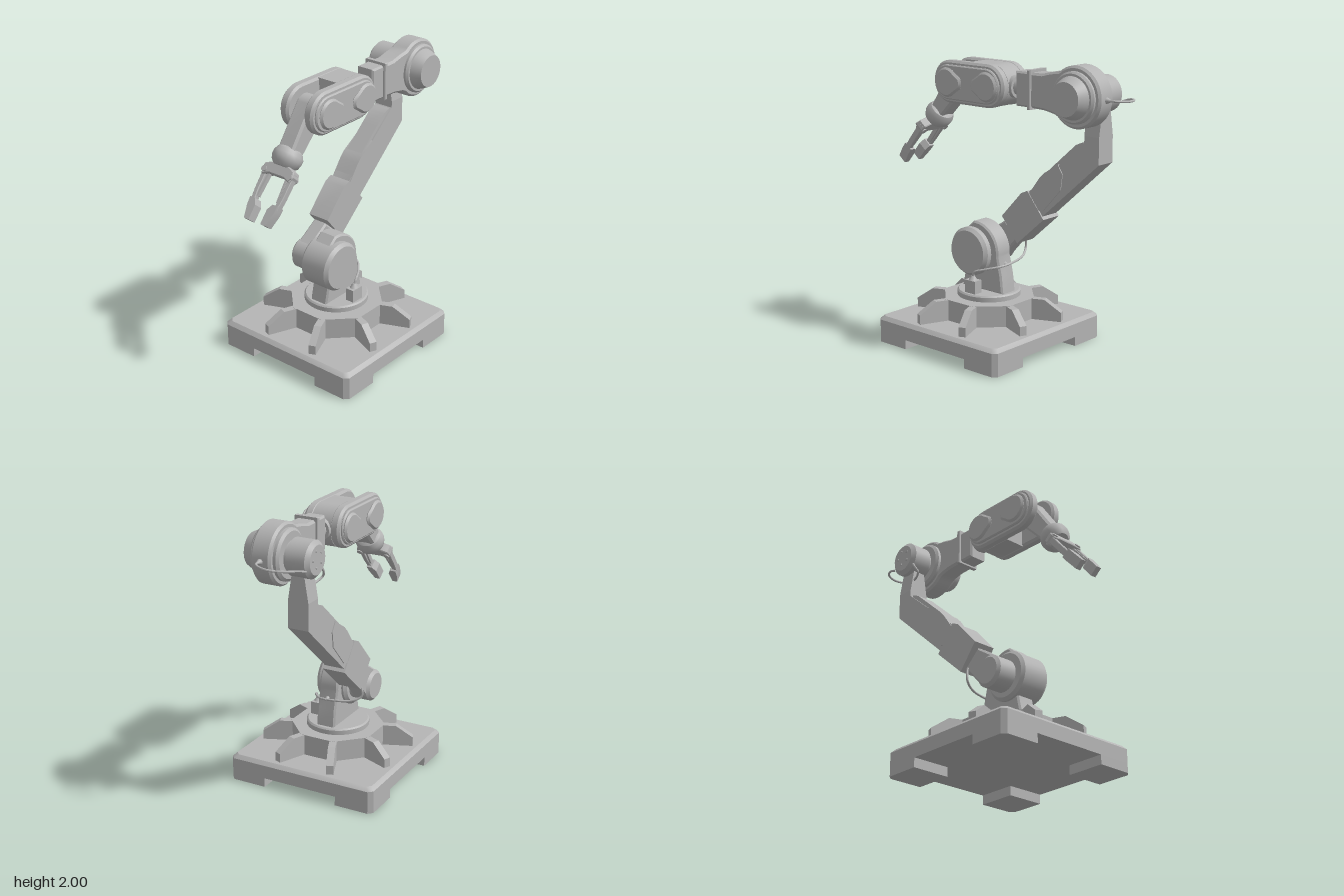
import * as THREE from 'three';
import { toCreasedNormals } from 'three/addons/utils/BufferGeometryUtils.js';

const PI = Math.PI;
const metal = new THREE.MeshStandardMaterial({ color: 0xb4b4b4 });
metal.name = 'grey metal';

function add(parent, name, geometry) {
  const mesh = new THREE.Mesh(toCreasedNormals(geometry, 0.55), metal);
  mesh.name = name;
  parent.add(mesh);
  return mesh;
}

// Points along a circular arc, angles in degrees
function arc(cx, cy, r, a0, a1, n = 20) {
  return Array.from({ length: n + 1 }, (_, i) => {
    const a = THREE.MathUtils.degToRad(a0 + (a1 - a0) * i / n);
    return [cx + r * Math.cos(a), cy + r * Math.sin(a)];
  });
}

// Outline in xy, extruded from z0 to z1 with an inward bevel
function slab(points, z0, z1, b = 0) {
  const shape = new THREE.Shape(points.map(p => new THREE.Vector2(p[0], p[1])));
  const g = new THREE.ExtrudeGeometry(shape, {
    depth: z1 - z0 - 2 * b, bevelEnabled: b > 0, bevelSize: b, bevelThickness: b,
    bevelOffset: -b, bevelSegments: 1, steps: 1,
  });
  return g.translate(0, 0, z0 + b);
}

// Outline in plan, extruded upward; the top can be narrowed
function prism(points, y0, y1, topScale = 1) {
  const g = slab(points, y0, y1).rotateX(-PI / 2), p = g.attributes.position;
  for (let i = 0; i < p.count; i++) {
    if (p.getY(i) > (y0 + y1) / 2) p.setXYZ(i, p.getX(i) * topScale, p.getY(i), p.getZ(i) * topScale);
  }
  return g;
}

// Turned part with its axis along z; profile is [radius, z] with z rising
function turned(x, y, profile, sides = 32) {
  const g = new THREE.LatheGeometry(profile.map(p => new THREE.Vector2(p[0], p[1])), sides);
  return g.rotateX(PI / 2).translate(x, y, 0);
}

function cable(parent, name, pts, r = 0.008) {
  const curve = new THREE.CatmullRomCurve3(pts.map(p => new THREE.Vector3(...p)));
  add(parent, name, new THREE.TubeGeometry(curve, 40, r, 8));
}

function group(parent, name) {
  const g = new THREE.Group();
  g.name = name;
  parent.add(g);
  return g;
}

function buildBase(model) {
  const base = group(model, 'base');
  base.position.x = -0.16;
  const o = 0.55, c = 0.52;
  const plan = [[o, -c], [o, c], [c, o], [-c, o], [-o, c], [-o, -c], [-c, -o], [c, -o]];
  add(base, 'basePlate', prism(plan, 0.065, 0.16));
  add(base, 'basePlateTop', prism(plan, 0.16, 0.185, 0.955));
  for (const sx of [-1, 1]) for (const sz of [-1, 1]) {
    const foot = [[0.275, 0.275], [o, 0.275], [o, c], [c, o], [0.275, o]].map(p => [p[0] * sx, p[1] * sz]);
    add(base, 'foot', prism(foot, 0, 0.066));
  }
  add(base, 'pedestal', new THREE.CylinderGeometry(0.33, 0.33, 0.15, 8).rotateY(PI / 8).translate(0, 0.258, 0));
  for (let k = 0; k < 8; k++) {
    const rib = slab([[0.28, 0.18], [0.53, 0.18], [0.53, 0.25], [0.41, 0.332], [0.28, 0.332]], -0.025, 0.025);
    add(base, 'rib', rib.rotateY(PI / 8 + k * PI / 4));
  }
  add(base, 'turntable', new THREE.LatheGeometry([[0, 0.33], [0.22, 0.33], [0.22, 0.365], [0.21, 0.375], [0, 0.375]]
    .map(p => new THREE.Vector2(...p)), 40));
}

function buildShoulder(model) {
  const s = group(model, 'shoulder');
  const bracket = [[-0.35, 0.37], [0.025, 0.37], [0.01, 0.5], ...arc(-0.225, 0.645, 0.205, -5, 95), [-0.3, 0.8], [-0.31, 0.55]];
  add(s, 'shoulderBracket', slab(bracket, -0.07, 0.07, 0.012));
  add(s, 'shoulderDrum', turned(-0.245, 0.64, [[0, -0.105], [0.15, -0.105], [0.17, -0.085], [0.17, 0.105], [0.15, 0.13], [0, 0.13]], 40));
  add(s, 'shoulderPivot', turned(-0.235, 0.635, [[0, -0.255], [0.09, -0.255], [0.11, -0.235], [0.11, -0.1], [0, -0.1]]));
  add(s, 'cableBox', new THREE.BoxGeometry(0.095, 0.09, 0.065).translate(-0.163, 0.42, 0.16));
  add(s, 'cablePlug', new THREE.CylinderGeometry(0.01, 0.03, 0.03, 12).translate(-0.163, 0.48, 0.16));
  add(s, 'cableClamp', new THREE.ConeGeometry(0.025, 0.05, 10).rotateZ(-PI / 2).translate(0.0, 0.57, 0));
  cable(s, 'shoulderCable', [[-0.163, 0.48, 0.16], [-0.15, 0.52, 0.165], [-0.08, 0.545, 0.13], [0, 0.565, 0.05],
    [0.01, 0.575, -0.06], [-0.01, 0.59, -0.18], [-0.04, 0.63, -0.25], [-0.03, 0.72, -0.24]]);
}

function buildLowerArm(model) {
  const a = group(model, 'lowerArm');
  add(a, 'armNeck', slab([[-0.31, 0.715], [-0.12, 0.84], [0.0, 0.73], [-0.16, 0.555]], -0.235, -0.12, 0.012));
  add(a, 'armSleeve', slab([[-0.13, 0.873], [0.01, 0.7], [0.243, 0.905], [0.1, 1.085], [0.045, 1.06]], -0.265, -0.1));
  add(a, 'armBeam', slab([[0.0, 0.92], [0.12, 0.83], [0.695, 1.34], [0.695, 1.52], [0.575, 1.52], [0.575, 1.475], [0.08, 1.055]], -0.255, -0.11));
  // Covers clipped over the upper edge
  add(a, 'lowerCover', slab([[0.1, 1.05], [0.13, 0.94], [0.24, 0.97], [0.385, 1.13], [0.4, 1.24], [0.36, 1.3], [0.24, 1.225], [0.2, 1.185]], -0.262, -0.104));
  add(a, 'upperCover', slab([[0.24, 1.17], [0.42, 1.27], [0.55, 1.42], [0.56, 1.475], [0.5, 1.45], [0.42, 1.38], [0.25, 1.23]], -0.245, -0.12));
  // Tapered end that enters the elbow
  const end = new THREE.BoxGeometry(0.12, 0.2, 0.145), p = end.attributes.position;
  for (let i = 0; i < p.count; i++) if (p.getY(i) > 0) p.setZ(i, p.getZ(i) * 0.55);
  add(a, 'armEnd', end.translate(0.635, 1.62, -0.1825));
}

function buildElbow(model) {
  const e = group(model, 'elbow');
  const x = 0.635, y = 1.795;
  const outline = [[0.26, 1.69], [0.38, 1.685], [0.46, 1.67], ...arc(x, y, 0.202, -137, 130, 36), [0.44, 1.94], [0.36, 1.92], [0.26, 1.92]];
  add(e, 'forearmHousing', slab(outline, -0.07, 0.07, 0.015));
  add(e, 'forearmBlock', slab([[0.14, 1.69], [0.27, 1.69], [0.27, 1.92], [0.14, 1.92]], -0.068, 0.068, 0.012));
  add(e, 'forearmBand', slab([[0.248, 1.678], [0.277, 1.678], [0.277, 1.938], [0.248, 1.938]], -0.085, 0.085, 0.005));
  add(e, 'elbowHub', turned(x, y, [[0, -0.105], [0.15, -0.105], [0.168, -0.09], [0.168, 0.085], [0.155, 0.1],
    [0.14, 0.1], [0.132, 0.125], [0.11, 0.172], [0, 0.172]], 40));
  add(e, 'elbowMotor', turned(x, y - 0.005, [[0, -0.287], [0.095, -0.287], [0.122, -0.262], [0.122, -0.13], [0.1, -0.12], [0.1, -0.1]]));
  for (let k = 0; k < 5; k++) {
    const t = k * 2 * PI / 5;
    add(e, 'bolt', new THREE.CylinderGeometry(0.008, 0.008, 0.012, 8).rotateX(PI / 2)
      .translate(x + 0.055 * Math.cos(t), y + 0.055 * Math.sin(t), -0.288));
  }
  add(e, 'cablePlug', new THREE.ConeGeometry(0.025, 0.06, 12).rotateZ(-PI / 2).translate(0.855, 1.79, 0));
  cable(e, 'elbowCable', [[0.84, 1.79, 0], [0.89, 1.79, -0.005], [0.925, 1.785, -0.06], [0.928, 1.78, -0.13],
    [0.89, 1.775, -0.21], [0.82, 1.765, -0.255], [0.74, 1.74, -0.265]]);
  cable(e, 'motorCable', [[0.56, 1.74, -0.26], [0.52, 1.68, -0.265], [0.505, 1.645, -0.25], [0.53, 1.625, -0.235], [0.59, 1.61, -0.22]]);
}

function buildWrist(model) {
  const w = group(model, 'wrist');
  const y = 1.805, xl = -0.4, xr = -0.055;
  const stadium = r => [...arc(xr, y, r, -90, 90), ...arc(xl, y, r, 90, 270)];
  const connector = (r, x0, x1) => new THREE.CylinderGeometry(r, r, x1 - x0, 16).rotateZ(PI / 2).translate((x0 + x1) / 2, y, 0);
  add(w, 'wristShaft', connector(0.055, 0.05, 0.16));
  add(w, 'wristFlange', connector(0.075, 0.07, 0.108));
  add(w, 'wristCore', slab([...arc(xr, y, 0.143, -90, 90), [-0.24, y + 0.143], [-0.24, y - 0.143]], -0.075, 0.075));
  for (const s of [-1, 1]) {
    const side = group(w, 'wristSide');
    if (s < 0) side.rotation.y = PI;
    // The rear side is turned round, so its outline is reflected first
    const flip = pts => pts.map(p => [p[0] * s, p[1]]);
    add(side, 'sidePlate', slab(flip(stadium(0.145)), 0.065, 0.135, 0.015));
    add(side, 'sidePanel', slab(flip(stadium(0.118)), 0.13, 0.152, 0.008));
    const lug = (cx, d) => flip([...arc(0, 0, 0.1, 45, 315, 24), [0.125, -0.035], [0.135, 0], [0.125, 0.035]]
      .map(p => [cx + p[0] * d, y + p[1]]));
    add(side, 'leftLug', slab(lug(-0.04, -1), 0.145, 0.174, 0.014));
    add(side, 'rightLug', slab(lug(-0.395, 1), 0.145, 0.174, 0.014));
  }
}

function buildGripper(model) {
  const h = group(model, 'gripper');
  h.position.set(-0.4, 1.81, 0);
  h.rotation.z = THREE.MathUtils.degToRad(-40);
  // Outline in the zy plane, thickness along x
  const plate = (pts, t, b = 0) => slab(pts, -t / 2, t / 2, b).rotateY(-PI / 2);
  add(h, 'handLink', slab([...arc(0, 0, 0.085, 0, 180), [-0.06, -0.31], [0.06, -0.31]], -0.065, 0.065, 0.015));
  const collar = [[0, -0.415], [0.065, -0.415], [0.09, -0.39], [0.1, -0.36], [0.1, -0.33], [0.085, -0.3], [0.06, -0.285], [0, -0.285]];
  add(h, 'wristCollar', new THREE.LatheGeometry(collar.map(p => new THREE.Vector2(...p)), 20));
  add(h, 'palm', plate([[-0.06, -0.4], [-0.12, -0.425], [-0.13, -0.46], [-0.115, -0.5], [-0.06, -0.48],
    [0.06, -0.48], [0.115, -0.5], [0.13, -0.46], [0.12, -0.425], [0.06, -0.4]], 0.07, 0.006));
  for (const s of [-1, 1]) {
    const m = pts => pts.map(p => [p[0] * s, p[1]]);
    add(h, 'finger', plate(m([[0.125, -0.44], [0.122, -0.6], [0.112, -0.7], [0.08, -0.7], [0.092, -0.6], [0.09, -0.44]]), 0.045, 0.004));
    add(h, 'innerLink', plate(m([[0.065, -0.46], [0.08, -0.46], [0.092, -0.64], [0.077, -0.64]]), 0.03));
    add(h, 'fingerPad', plate(m([[0.115, -0.66], [0.112, -0.71], [0.09, -0.8], [0.05, -0.8], [0.05, -0.7], [0.075, -0.66]]), 0.07));
    add(h, 'knuckle', new THREE.CylinderGeometry(0.02, 0.02, 0.085, 12).rotateZ(PI / 2).translate(0, -0.465, s * 0.105));
  }
}

export function createModel() {
  const model = new THREE.Group();
  model.name = 'robotArm';
  buildBase(model);
  buildShoulder(model);
  buildLowerArm(model);
  buildElbow(model);
  buildWrist(model);
  buildGripper(model);
  return model;
}
